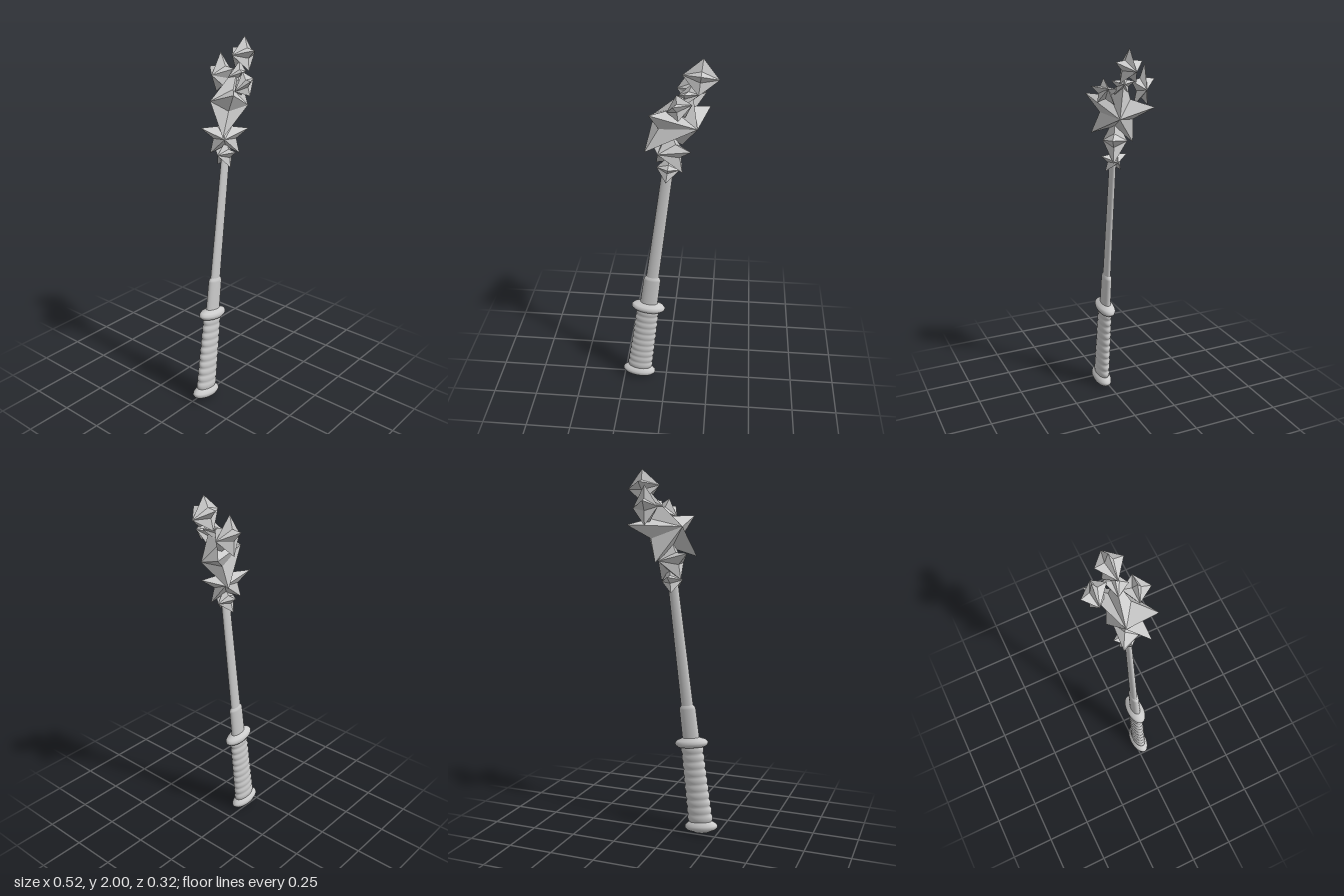
import * as THREE from 'three';

const smooth = new THREE.MeshStandardMaterial({ color: 0xcccccc, side: THREE.DoubleSide });
const faceted = new THREE.MeshStandardMaterial({ color: 0xcccccc, flatShading: true });

// Turned part of the rod from [radius, height] points
function turned(name, points) {
  const profile = points.map(([r, y]) => new THREE.Vector2(r, y));
  const mesh = new THREE.Mesh(new THREE.LatheGeometry(profile, 32), smooth);
  mesh.name = name;
  return mesh;
}

// Five-pointed solid star: u and v span its plane, w reaches from the centre to an apex
function star(name, centre, u, v, w, inner = 0.48) {
  const [C, U, V, W] = [centre, u, v, w].map((a) => new THREE.Vector3(...a));
  const rim = [];
  for (let i = 0; i < 10; i++) {
    const a = Math.PI / 2 + (i * Math.PI) / 5;
    const r = i % 2 ? inner : 1;
    rim.push(C.clone().addScaledVector(U, r * Math.cos(a)).addScaledVector(V, r * Math.sin(a)));
  }
  const front = C.clone().add(W);
  const back = C.clone().sub(W);
  const rightHanded = U.clone().cross(V).dot(W) > 0;
  const corners = [];
  rim.forEach((p, i) => {
    const q = rim[(i + 1) % 10];
    corners.push(...(rightHanded ? [p, q, front, q, p, back] : [q, p, front, p, q, back]));
  });
  const geometry = new THREE.BufferGeometry().setFromPoints(corners);
  geometry.computeVertexNormals();
  const mesh = new THREE.Mesh(geometry, faceted);
  mesh.name = name;
  return mesh;
}

export function createModel() {
  const model = new THREE.Group();
  model.name = 'starWand';

  // Leaning rod with a flattened, elliptical section
  const rod = new THREE.Group();
  rod.name = 'rod';
  rod.position.set(-0.167, 0, 0.025);
  rod.rotation.z = -0.124;
  rod.scale.z = 0.5;
  model.add(rod);

  // Grip made of stacked rounded rings
  const rings = 10;
  const grip = [];
  for (let i = 0; i <= rings * 6; i++) {
    const t = i / (rings * 6);
    const bulge = 0.007 * Math.abs(Math.sin(t * rings * Math.PI));
    grip.push([0.067 - 0.009 * t + bulge, 0.075 + 0.435 * t]);
  }

  rod.add(
    turned('pommel', [[0, 0.003], [0.04, 0.01], [0.085, 0.028], [0.097, 0.042], [0.094, 0.054], [0.08, 0.066], [0.06, 0.078]]),
    turned('grip', grip),
    turned('guard', [[0.05, 0.503], [0.08, 0.508], [0.094, 0.52], [0.096, 0.532], [0.085, 0.545], [0.045, 0.56]]),
    turned('collar', [[0.049, 0.55], [0.047, 0.72], [0.044, 0.73], [0.034, 0.742]]),
    turned('shaft', [[0.035, 0.73], [0.029, 1.4], [0, 1.4]]),
  );

  // Cluster of stars at the head
  const stars = new THREE.Group();
  stars.name = 'starCluster';
  stars.add(
    star('baseStar', [0.01, 1.415, 0.02], [0, 0, 0.076], [0.01, 0.077, 0], [0.06, -0.006, 0]),
    star('lowerStar', [0.015, 1.516, 0.015], [-0.121, 0.013, -0.068], [0, 0.12, 0], [0.055, 0.005, -0.045]),
    star('largeStar', [0.048, 1.677, 0.017], [-0.152, 0.024, 0.134], [0.075, 0.185, -0.005], [0.11, -0.025, 0.035]),
    star('frontStar', [0.07, 1.778, 0.095], [-0.025, 0.01, 0.068], [-0.015, 0.069, 0], [0.063, 0.025, 0.01]),
    star('innerStar', [0.11, 1.815, 0.015], [-0.03, 0, 0.055], [0.02, 0.065, 0], [0.055, 0.01, 0.015]),
    star('backStar', [0.118, 1.8, -0.088], [0.015, 0, 0.075], [0, 0.115, -0.012], [0.075, -0.005, 0.01]),
    star('topStar', [0.167, 1.905, 0.01], [0, 0, 0.076], [0.01, 0.095, 0], [0.091, -0.01, 0]),
  );
  model.add(stars);
  return model;
}
